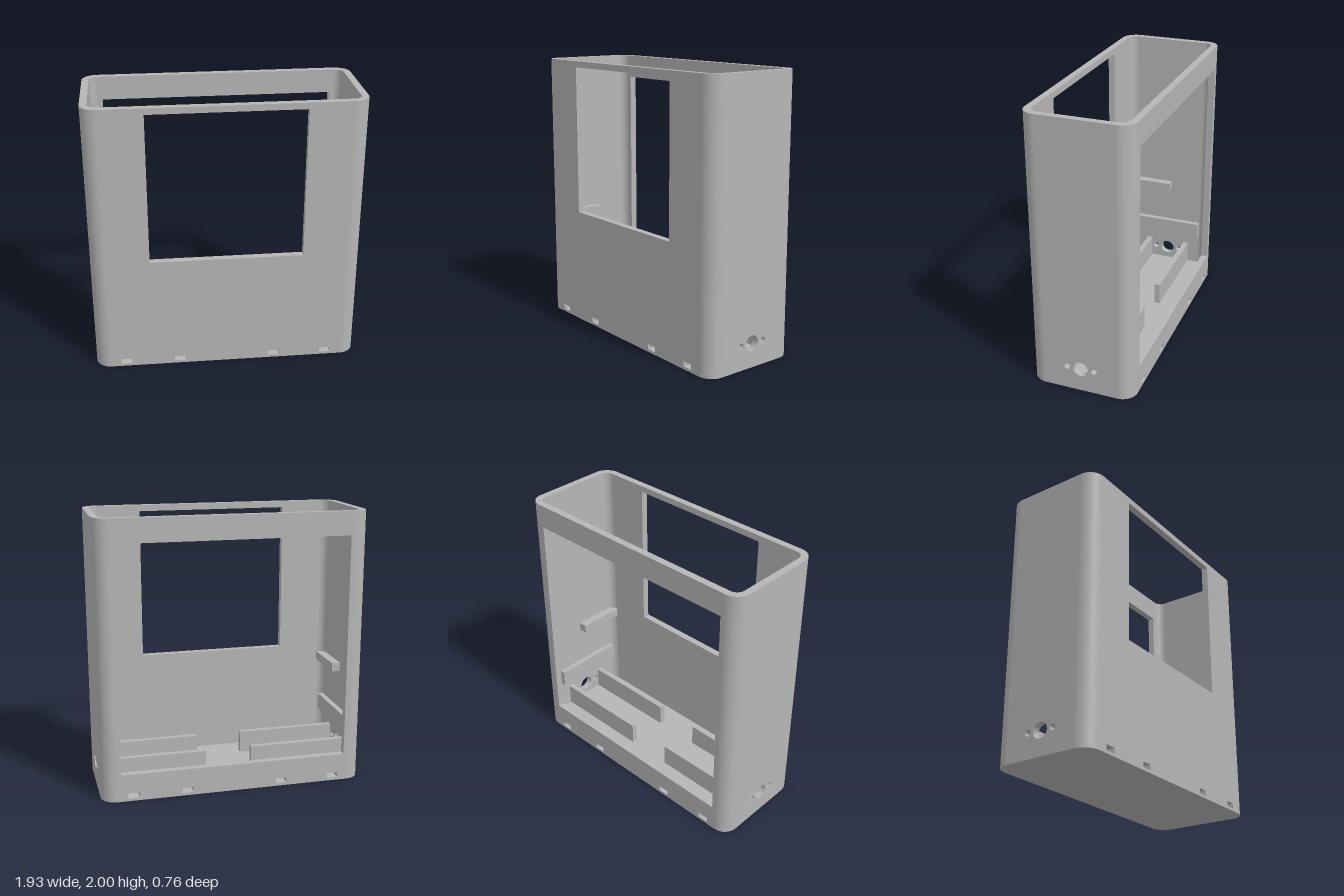
import * as THREE from 'three';
import { toCreasedNormals } from 'three/addons/utils/BufferGeometryUtils.js';

const HX = 0.967, HZ = 0.38, H = 2;      // outer half sizes and height
const WALL = 0.05, R = 0.11;             // wall thickness, corner radius
const IX = HX - WALL, IZ = HZ - WALL;    // inner half sizes
const FLOOR = 0.08;

function rect(T, x0, x1, y0, y1) {
  const s = new T();
  s.moveTo(x0, y0);
  s.lineTo(x1, y0);
  s.lineTo(x1, y1);
  s.lineTo(x0, y1);
  s.closePath();
  return s;
}

function circle(x, y, r) {
  const p = new THREE.Path();
  p.absarc(x, y, r, 0, Math.PI * 2, true);
  return p;
}

function extrude(shape, depth) {
  const g = new THREE.ExtrudeGeometry(shape, { depth, bevelEnabled: false, curveSegments: 16 });
  return toCreasedNormals(g, 0.6);
}

export function createModel() {
  const model = new THREE.Group();
  model.name = 'enclosure';
  const grey = new THREE.MeshStandardMaterial({ color: 0xb5b5b5 });
  grey.name = 'grey plastic';

  function add(name, geometry) {
    const mesh = new THREE.Mesh(geometry, grey);
    mesh.name = name;
    model.add(mesh);
    return mesh;
  }
  function box(name, x0, x1, y0, y1, z0, z1) {
    add(name, new THREE.BoxGeometry(x1 - x0, y1 - y0, z1 - z0))
      .position.set((x0 + x1) / 2, (y0 + y1) / 2, (z0 + z1) / 2);
  }

  // Cable slots run through the floor from front to back
  const slots = () => [-0.745, -0.35, 0.35, 0.74]
    .map((x) => rect(THREE.Path, x - 0.04, x + 0.04, 0.02, 0.058));

  // Front wall with display window, back wall with large opening
  const px = HX - R, pz = HZ - R;
  const front = rect(THREE.Shape, -px, px, 0, H);
  front.holes.push(rect(THREE.Path, -0.548, 0.545, 0.86, 1.955), ...slots());
  add('frontWall', extrude(front, WALL)).position.z = IZ;

  const back = rect(THREE.Shape, -px, px, 0, H);
  back.holes.push(rect(THREE.Path, -0.83, 0.83, 0.2, 1.83), ...slots());
  add('backWall', extrude(back, WALL)).position.z = -HZ;

  // Floor slab
  const floor = rect(THREE.Shape, -IX, IX, 0, FLOOR);
  floor.holes.push(...slots());
  add('floor', extrude(floor, 2 * IZ)).position.z = -IZ;

  // Side walls, each with a connector hole and two screw holes
  for (const side of [1, -1]) {
    const wall = rect(THREE.Shape, -pz, pz, 0, H);
    wall.holes.push(circle(0, 0.175, 0.055), circle(0.1, 0.175, 0.022), circle(-0.1, 0.175, 0.022));
    const mesh = add(side > 0 ? 'leftWall' : 'rightWall', extrude(wall, WALL));
    mesh.rotation.y = side * Math.PI / 2;
    mesh.position.x = side * IX;
  }

  // Rounded vertical corners
  const ring = new THREE.Shape();
  ring.absarc(0, 0, R, 0, Math.PI / 2, false);
  ring.absarc(0, 0, R - WALL, Math.PI / 2, 0, true);
  ring.closePath();
  const cornerGeometry = extrude(ring, H).rotateX(-Math.PI / 2);
  [[1, -1], [-1, -1], [-1, 1], [1, 1]].forEach(([sx, sz], k) => {
    const corner = add('corner', cornerGeometry);
    corner.rotation.y = k * Math.PI / 2;
    corner.position.set(sx * px, 0, sz * pz);
  });

  // Mirrored inner ribs and rails
  for (const s of [1, -1]) {
    const mirrored = (name, a, b, ...rest) =>
      box(name, Math.min(s * a, s * b), Math.max(s * a, s * b), ...rest);
    mirrored('frontRib', 0.173, IX, FLOOR, 0.245, 0.135, 0.177);
    mirrored('backRib', 0.173, IX, FLOOR, 0.245, -0.183, -0.141);
    mirrored('lowerRail', 0.855, 0.897, 0.34, 0.465, -0.28, 0.27);
    mirrored('upperRail', 0.853, IX, 0.735, 0.8, -0.027, IZ);
  }
  return model;
}
